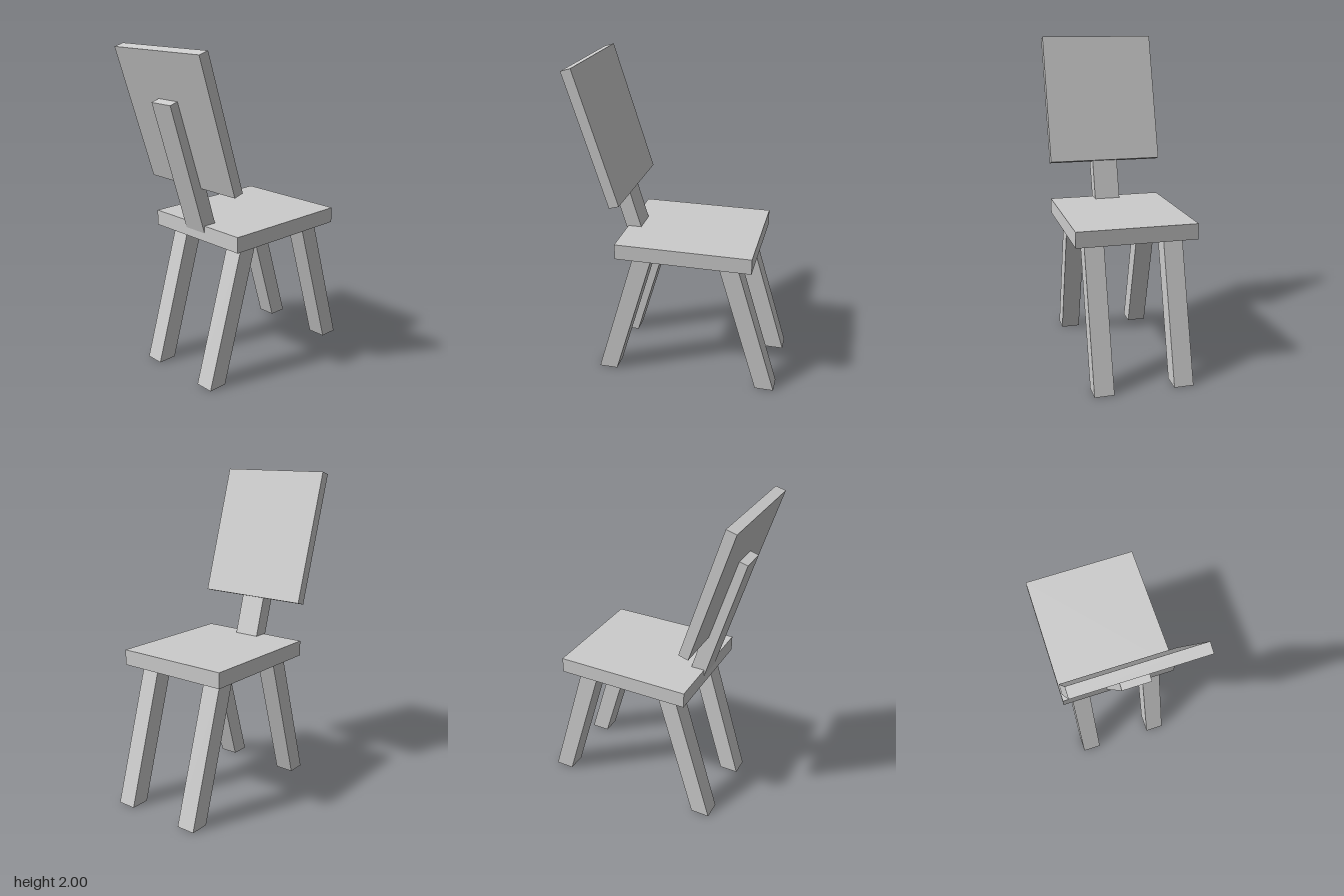
import * as THREE from 'three';

const material = new THREE.MeshStandardMaterial({ color: 0xcccccc, flatShading: true });

// Prism with a side profile in x-y, extruded across z and centred on z
function prism(name, profile, width, z = 0) {
  const shape = new THREE.Shape(profile.map(([x, y]) => new THREE.Vector2(x, y)));
  const geometry = new THREE.ExtrudeGeometry(shape, { depth: width, bevelEnabled: false });
  geometry.translate(0, 0, z - width / 2);
  const mesh = new THREE.Mesh(geometry, material);
  mesh.name = name;
  return mesh;
}

export function createModel() {
  const chair = new THREE.Group();
  chair.name = 'chair';

  // Seat slab
  const seat = new THREE.Mesh(new THREE.BoxGeometry(0.838, 0.096, 0.735), material);
  seat.name = 'seat';
  seat.position.set(0.054, 0.899, 0);
  chair.add(seat);

  // Splayed legs, cut level at the floor and under the seat
  const legWidth = 0.118;
  for (const [side, z] of [['Left', -0.241], ['Right', 0.241]]) {
    for (const [end, foot, top] of [['front', 0.513, 0.259], ['back', -0.525, -0.269]]) {
      chair.add(prism(end + 'Leg' + side, [
        [foot, 0], [foot + legWidth, 0], [top + legWidth, 0.852], [top, 0.852],
      ], legWidth, z));
    }
  }

  // Tilted post rising from the rear of the seat
  chair.add(prism('backPost', [
    [-0.36, 0.885], [-0.27, 0.912], [-0.507, 1.719], [-0.599, 1.69],
  ], 0.165));

  // Tilted backrest panel
  chair.add(prism('backrest', [
    [-0.386, 1.182], [-0.325, 1.2], [-0.572, 2], [-0.633, 1.982],
  ], 0.735));

  return chair;
}
